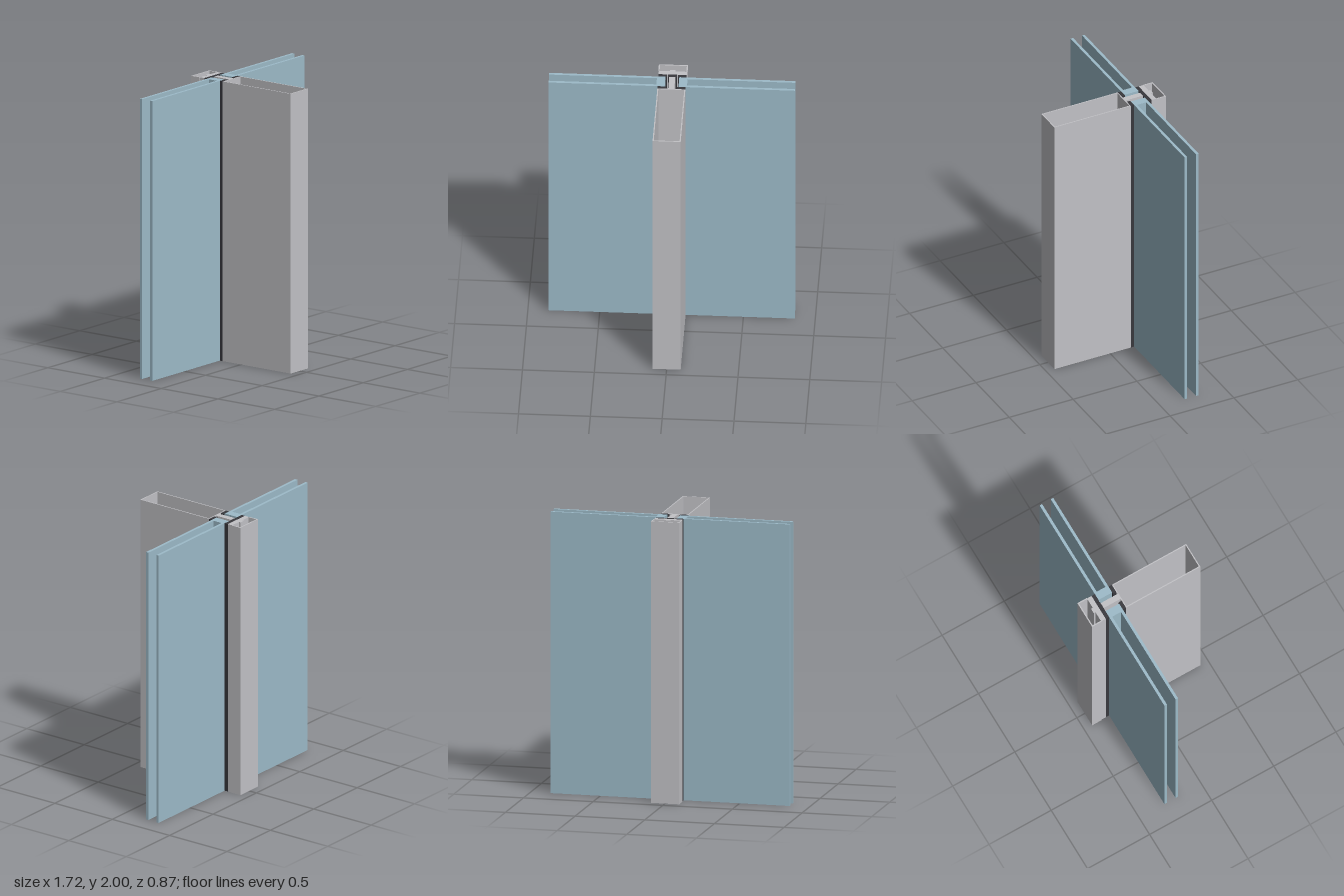
import * as THREE from 'three';

const HEIGHT = 2;

export function createModel() {
  const group = new THREE.Group();
  const metal = new THREE.MeshStandardMaterial({ color: 0xc2c2c6 });
  metal.name = 'aluminium';
  const glass = new THREE.MeshStandardMaterial({ color: 0x9dbbc9 });
  glass.name = 'glass blue';
  const rubber = new THREE.MeshStandardMaterial({ color: 0x38383d });
  rubber.name = 'gasket rubber';

  const add = (name, geometry, material) => {
    const mesh = new THREE.Mesh(geometry, material);
    mesh.name = name;
    group.add(mesh);
  };

  // Full-height bar given by its plan rectangle
  const bar = (name, x0, x1, z0, z1, material) => {
    const g = new THREE.BoxGeometry(x1 - x0, HEIGHT, z1 - z0);
    g.translate((x0 + x1) / 2, HEIGHT / 2, (z0 + z1) / 2);
    add(name, g, material);
  };

  // The same bar on both sides of the mullion
  const pair = (name, x0, x1, z0, z1, material) => {
    bar(name + 'Left', x0, x1, z0, z1, material);
    bar(name + 'Right', -x1, -x0, z0, z1, material);
  };

  // Plan profile of [x, z] points, extruded upwards
  const path = (pts) => pts.map(([x, z]) => new THREE.Vector2(x, -z));
  const profile = (name, outline, hole, material) => {
    const shape = new THREE.Shape(path(outline));
    if (hole) shape.holes.push(new THREE.Path(path(hole)));
    const g = new THREE.ExtrudeGeometry(shape, { depth: HEIGHT, bevelEnabled: false });
    g.rotateX(-Math.PI / 2);
    add(name, g, material);
  };
  const rect = (x, z0, z1) => [[-x, z1], [x, z1], [x, z0], [-x, z0]];

  // Hollow mullion with the tongue between the panes
  profile('mullion', rect(0.098, -0.162, 0.437), rect(0.09, -0.154, 0.429), metal);
  bar('mullionTongue', -0.022, 0.02, -0.297, -0.162, metal);

  // Double glazing: two panes and an edge spacer on each side
  pair('innerPane', 0.107, 0.858, -0.208, -0.188, glass);
  pair('outerPane', 0.107, 0.858, -0.298, -0.278, glass);
  pair('glazingSpacer', 0.048, 0.107, -0.298, -0.188, glass);

  // Gaskets and thermal break
  pair('innerGasket', 0.038, 0.098, -0.188, -0.162, rubber);
  pair('outerGasket', 0.038, 0.098, -0.325, -0.298, rubber);
  bar('thermalBreak', -0.032, 0.032, -0.325, -0.297, rubber);

  // Pressure plate with its fixing rail
  bar('pressurePlate', -0.098, 0.098, -0.362, -0.325, metal);
  bar('fixingRail', -0.02, 0.018, -0.376, -0.362, metal);

  // Channel-shaped cover cap at the back
  profile('coverCap', [
    [-0.102, -0.437], [-0.102, -0.362], [-0.093, -0.362], [-0.093, -0.428],
    [0.093, -0.428], [0.093, -0.362], [0.102, -0.362], [0.102, -0.437],
  ], null, metal);

  return group;
}
